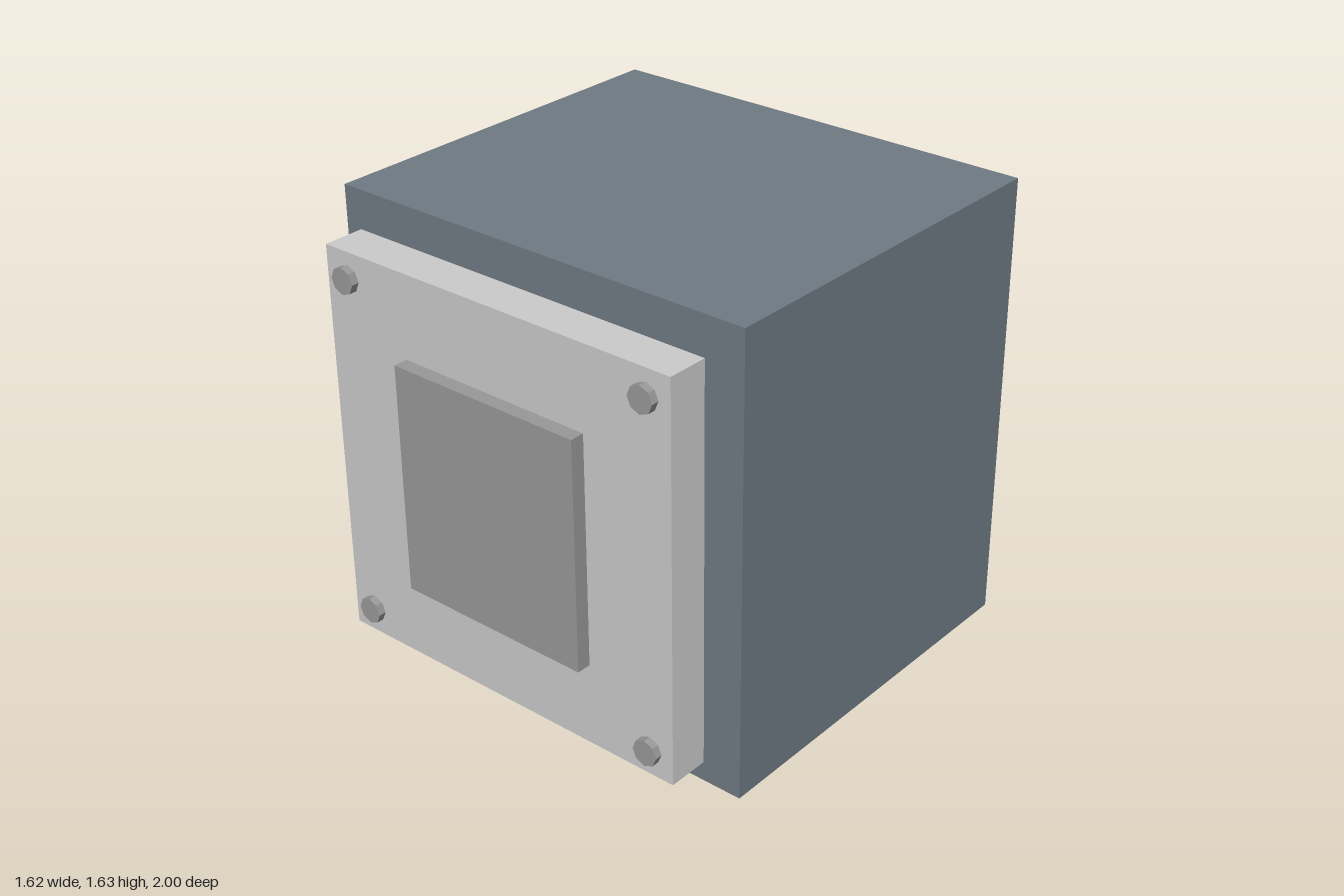
import * as THREE from 'three';

const material = (color) => new THREE.MeshStandardMaterial({ color, flatShading: true });
const MID_Y = 0.816;

export function createModel() {
  const model = new THREE.Group();
  const bodyColor = material(0x707a84);
  const plateColor = material(0xcccccc);
  const coreColor = material(0x999999);
  const panelColor = material(0x80e0c0);

  const add = (name, geometry, mat, x, y, z) => {
    const mesh = new THREE.Mesh(geometry, mat);
    mesh.name = name;
    mesh.position.set(x, y, z);
    model.add(mesh);
  };
  // box spanning z0..z1, centred on the block's axis
  const block = (name, w, h, z0, z1, mat) =>
    add(name, new THREE.BoxGeometry(w, h, z1 - z0), mat, 0, MID_Y, (z0 + z1) / 2);
  // octagonal stud along z
  const stud = (name, r, x, y, z0, z1, mat) =>
    add(name, new THREE.CylinderGeometry(r, r, z1 - z0, 8).rotateX(Math.PI / 2), mat, x, y, (z0 + z1) / 2);

  // main block and the core running through it
  block('body', 1.624, 1.632, -0.646, 0.76, bodyColor);
  block('core', 0.736, 0.816, -0.955, 1, coreColor);

  // end plates with corner bolts
  block('frontPlate', 1.404, 1.408, 0.801, 0.949, plateColor);
  block('backPlate', 1.404, 1.408, -0.834, -0.686, plateColor);
  for (const x of [-0.61, 0.61]) {
    for (const y of [MID_Y - 0.612, MID_Y + 0.612]) {
      stud('frontBolt', 0.047, x, y, 0.775, 0.976, coreColor);
      stud('backBolt', 0.047, x, y, -0.858, -0.657, coreColor);
    }
  }

  // coloured terminal panel on the back with three pins
  block('terminalPanel', 0.59, 0.67, -0.96, -0.95, panelColor);
  for (const x of [-0.165, 0, 0.165]) stud('terminalPin', 0.043, x, MID_Y, -1, -0.95, plateColor);

  return model;
}
